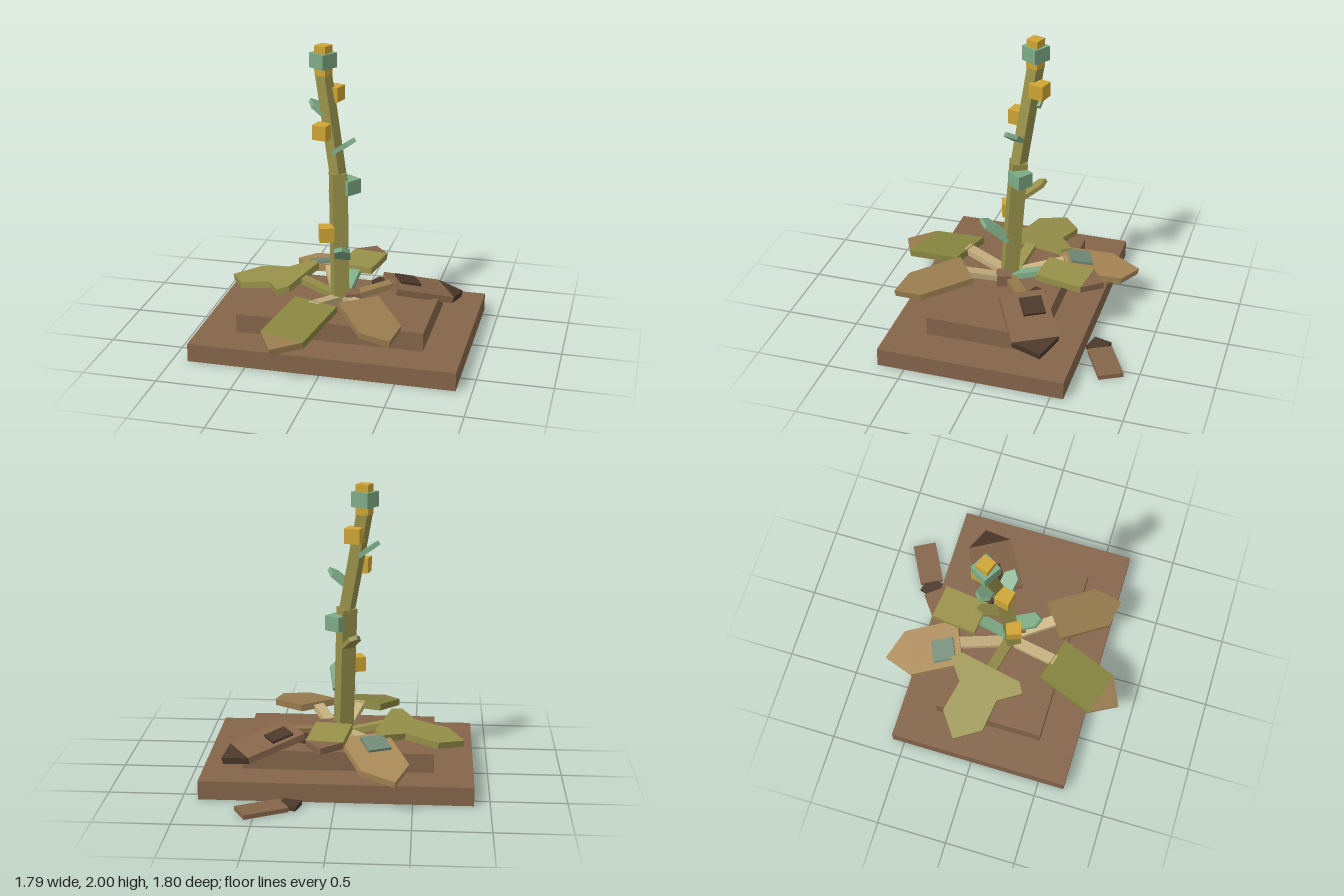
import * as THREE from 'three';

const V = (p) => new THREE.Vector3(...p);
const UP = new THREE.Vector3(0, 1, 0);

export function createModel() {
  const model = new THREE.Group();
  model.name = 'carvedPlant';

  const colors = {
    brown: 0x85654a, darkBrown: 0x4b3829, tan: 0xab8a58, bark: 0x987b4e, olive: 0x98914a,
    moss: 0x86843d, teal: 0x7eab86, greyTeal: 0x728b78, yellow: 0xcfa534, cream: 0xc6b180,
  };
  const mats = {};
  for (const [name, color] of Object.entries(colors)) {
    mats[name] = new THREE.MeshStandardMaterial({ color });
    mats[name].name = name;
  }

  function add(name, geometry, mat, parent = model) {
    const mesh = new THREE.Mesh(geometry, mats[mat]);
    mesh.name = name;
    parent.add(mesh);
    return mesh;
  }

  // Upright block turned about y by yaw (degrees)
  function block(name, mat, size, pos, yaw = 0) {
    const m = add(name, new THREE.BoxGeometry(...size), mat);
    m.position.set(...pos);
    m.rotation.y = THREE.MathUtils.degToRad(yaw);
    return m;
  }

  // Square beam from a to b, twisted about its own axis
  function beam(name, mat, a, b, width, twist) {
    const dir = V(b).sub(V(a));
    const m = add(name, new THREE.BoxGeometry(width, dir.length(), width), mat);
    m.position.copy(V(a)).addScaledVector(dir, 0.5);
    m.quaternion.setFromUnitVectors(UP, dir.normalize());
    m.rotateY(THREE.MathUtils.degToRad(twist));
    return m;
  }

  // Flat plate whose outline runs along +x, extruded on z
  function plate(name, mat, points, thick, parent) {
    const shape = new THREE.Shape(points.map(([x, y]) => new THREE.Vector2(x, y)));
    const geo = new THREE.ExtrudeGeometry(shape, { depth: thick, bevelEnabled: false });
    geo.translate(0, 0, -thick / 2);
    return add(name, geo, mat, parent);
  }

  // Group with x running from a to b and z as the upper normal
  function frame(name, a, b) {
    const g = new THREE.Group();
    const u = V(b).sub(V(a)).normalize();
    const v = UP.clone().cross(u).normalize();
    g.quaternion.setFromRotationMatrix(new THREE.Matrix4().makeBasis(u, v, u.clone().cross(v)));
    g.position.set(...a);
    g.name = name;
    model.add(g);
    return g;
  }

  // Pointed leaf: rectangular blade plus triangular tip
  function leaf(name, a, b, width, tipLength, thick, mat, tipMat = mat) {
    const g = frame(name, a, b);
    const end = V(a).distanceTo(V(b)), w = width / 2, s = end - tipLength;
    plate(name + 'Blade', mat, [[0, -w], [s, -w], [s, w], [0, w]], thick, g);
    plate(name + 'Tip', tipMat, [[s, -w], [end, 0], [s, w]], thick, g);
    return g;
  }

  // Flat stalk joining the stem foot to a ground leaf
  function stalk(mat, a, b) {
    const g = frame('stalk', a, b), l = V(a).distanceTo(V(b));
    plate('stalkPlate', mat, [[0, -0.038], [l, -0.038], [l, 0.038], [0, 0.038]], 0.04, g);
  }

  // Stepped base
  block('lowerBase', 'brown', [1.79, 0.125, 1.27], [0, 0.0625, 0.05]);
  block('upperBase', 'brown', [1.27, 0.13, 0.765], [0, 0.19, 0.0475]);
  block('stemFoot', 'brown', [0.1, 0.08, 0.1], [0.08, 0.295, 0.06], 20);

  // Stem
  beam('lowerStem', 'olive', [-0.012, 0.26, 0.05], [-0.04, 1.155, -0.01], 0.103, 29);
  beam('upperStem', 'olive', [-0.04, 1.14, -0.01], [-0.16, 1.82, -0.09], 0.08, -25);

  // Buds
  block('topBud', 'yellow', [0.087, 0.2, 0.087], [-0.157, 1.9, -0.087], -20);
  block('topCollar', 'teal', [0.128, 0.1, 0.128], [-0.16, 1.9, -0.087], -32);
  block('middleCollar', 'teal', [0.115, 0.1, 0.115], [0.025, 1.06, -0.04], -35);
  block('bud', 'yellow', [0.1, 0.1, 0.1], [-0.14, 1.445, 0.025], -12);
  block('bud', 'yellow', [0.1, 0.1, 0.1], [-0.1, 0.75, 0.075], 20);
  block('bud', 'yellow', [0.105, 0.1, 0.105], [-0.095, 1.67, -0.132], -15);

  // Small leaves on the stem
  leaf('frontStemLeaf', [0.005, 0.57, 0.05], [0.045, 0.71, 0.235], 0.105, 0.05, 0.03, 'teal');
  leaf('leftStemLeaf', [-0.06, 1.3, -0.01], [0.085, 1.41, 0.03], 0.1, 0.05, 0.03, 'teal');
  leaf('rightStemLeaf', [-0.13, 1.53, -0.08], [-0.255, 1.62, -0.1], 0.1, 0.05, 0.03, 'teal');
  leaf('backStemLeaf', [-0.04, 0.89, -0.03], [-0.115, 1.0, -0.18], 0.08, 0.04, 0.03, 'olive');

  // Large leaves around the foot
  const backRight = leaf('backRightLeaf', [-0.165, 0.345, -0.295], [-0.39, 0.21, -0.785],
    0.33, 0.165, 0.045, 'tan');
  const left = leaf('leftLeaf', [0.297, 0.335, -0.13], [0.76, 0.195, -0.39],
    0.315, 0.13, 0.045, 'brown', 'darkBrown');
  leaf('backLeaf', [0.033, 0.39, -0.2], [0.09, 0.37, -0.645], 0.245, 0.12, 0.045, 'olive', 'brown');
  leaf('frontLeftLeaf', [0.172, 0.37, 0.297], [0.469, 0.29, 0.713], 0.288, 0.145, 0.045, 'bark');
  leaf('frontRightLeaf', [-0.1, 0.355, 0.36], [-0.268, 0.235, 0.895],
    0.325, 0.15, 0.045, 'moss', 'bark');

  // Barbed leaf on the right
  const barbed = frame('barbedLeaf', [-0.287, 0.365, -0.033], [-0.833, 0.265, -0.144]);
  const half = [[0, 0.23], [0.065, 0.285], [0.19, 0.148], [0.42, 0.157]];
  plate('barbedBlade', 'olive', [
    ...half.map(([x, y]) => [x, -y]), [0.565, 0], ...half.slice().reverse(),
  ], 0.045, barbed);

  // Square patches lying on two leaves
  for (const [name, mat, parent, x, y, s] of [
    ['tealPatch', 'greyTeal', backRight, 0.125, 0.037, 0.16],
    ['darkPatch', 'darkBrown', left, 0.14, 0.041, 0.15],
  ]) {
    const m = add(name, new THREE.BoxGeometry(s, s, 0.02), mat, parent);
    m.position.set(x, y, 0.03);
  }

  // Stalks
  stalk('cream', [-0.03, 0.28, 0.08], [-0.11, 0.36, 0.39]);
  stalk('cream', [0.05, 0.28, 0.08], [0.19, 0.365, 0.32]);
  stalk('bark', [0.04, 0.28, 0.03], [0.32, 0.335, -0.14]);
  stalk('teal', [0.01, 0.29, 0], [0.035, 0.375, -0.22]);
  stalk('cream', [-0.05, 0.28, -0.02], [-0.175, 0.345, -0.32]);
  stalk('olive', [-0.05, 0.28, 0.02], [-0.31, 0.355, -0.03]);

  // Loose pieces
  block('darkChip', 'darkBrown', [0.1, 0.04, 0.09], [0.22, 0.3, -0.21], -25);
  block('fallenLeaf', 'brown', [0.306, 0.03, 0.168], [0.459, 0.015, -0.756], 28);
  block('fallenLeafTip', 'darkBrown', [0.125, 0.028, 0.125], [0.287, 0.014, -0.67], -15);

  return model;
}
